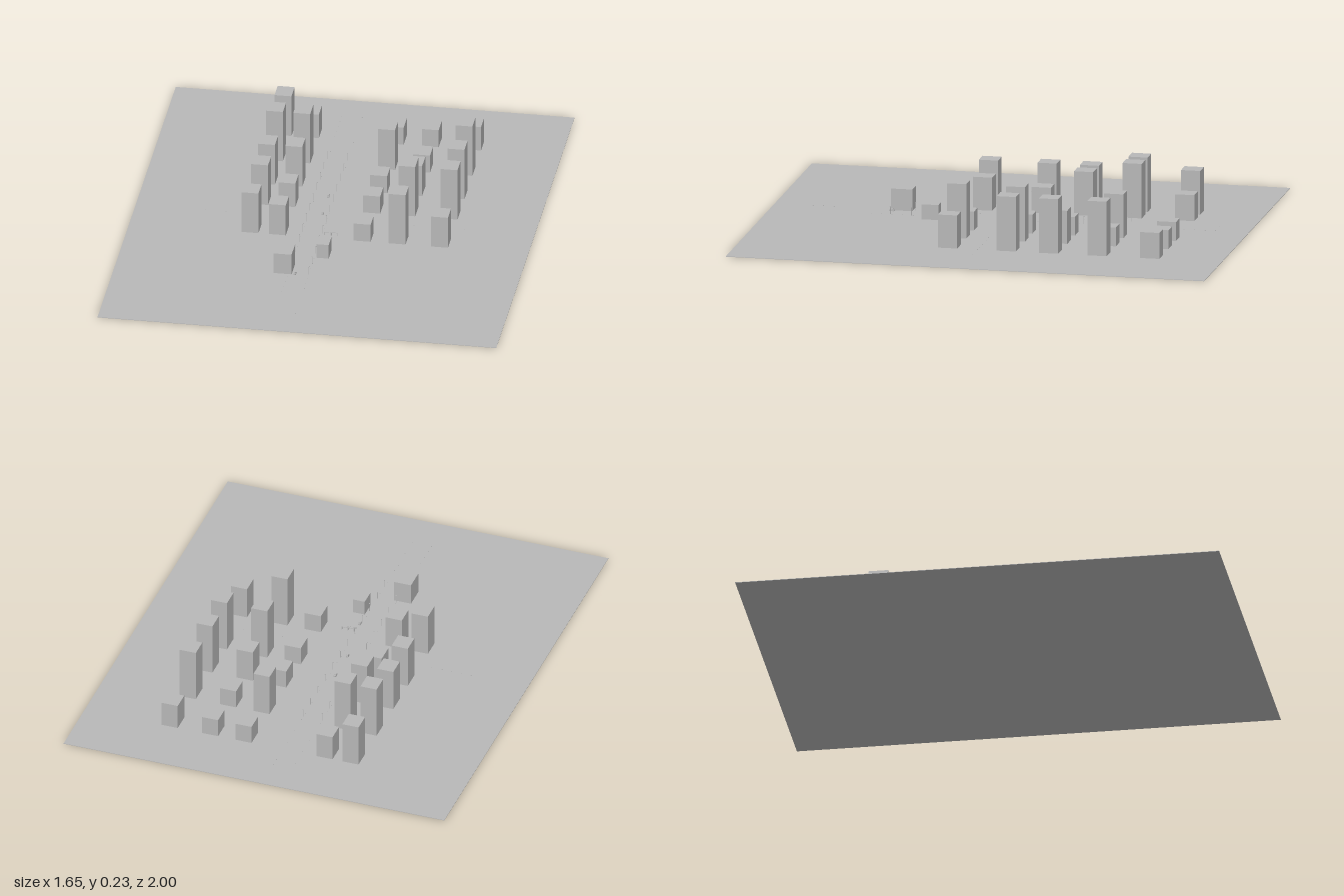
import * as THREE from 'three';

export function createModel() {
  const city = new THREE.Group();
  const concrete = new THREE.MeshStandardMaterial({ color: 0xb8b8b8 });
  concrete.name = 'concrete grey';

  // Adds a box standing on height y
  function block(name, x, z, w, h, d, y = 0.001, parent = city) {
    const mesh = new THREE.Mesh(new THREE.BoxGeometry(w, h, d), concrete);
    mesh.name = name;
    mesh.position.set(x, y + h / 2, z);
    parent.add(mesh);
    return mesh;
  }
  function section(name) {
    const group = new THREE.Group();
    group.name = name;
    city.add(group);
    return group;
  }

  block('ground', 0, 0, 1.65, 0.002, 2, 0);

  // Tower blocks: one line of heights per row, running from -x to +x
  const towers = section('towers');
  const columns = [-0.326, -0.213, 0.138, 0.283, 0.458];
  const rows = [
    [-0.70, [0.185, 0.11, 0.08, 0.08, 0.11]],
    [-0.48, [0.23, 0.23, 0.185, 0.08, 0.23]],
    [-0.277, [0.185, 0.185, 0.08, 0.14, 0.23]],
    [-0.10, [0.185, 0.11, 0.08, 0.23, 0.23]],
    [0.145, [0.185, 0.14, 0.08, 0.23, 0.14]],
  ];
  for (const [z, heights] of rows) {
    heights.forEach((h, i) => block('tower', columns[i], z, 0.07, h, 0.08, 0.001, towers));
  }

  // Two low houses beside the main street
  block('smallHouse', 0.002, 0.32, 0.05, 0.064, 0.07);
  block('largeHouse', -0.138, 0.467, 0.074, 0.092, 0.09);

  // Kerb studs along the main street and the cross street
  const studs = section('kerbStuds');
  for (const x of [-0.115, -0.032]) {
    for (let i = 0; i < 40; i++) block('stud', x, -0.86 + i * 0.0436, 0.003, 0.002, 0.003, 0.001, studs);
  }
  for (const side of [-1, 1]) {
    for (let i = 0; i < 10; i++) block('stud', side * (0.2 + i * 0.042), 0.02, 0.003, 0.002, 0.003, 0.001, studs);
  }

  // Slim street lamps
  const lamps = section('streetLamps');
  for (const x of [-0.115, -0.032]) {
    for (let i = 0; i < 12; i++) {
      const z = -0.49 + i * 0.09;
      block('lampPost', x, z, 0.0015, 0.034, 0.0015, 0.001, lamps);
      block('lampHead', x, z, 0.004, 0.002, 0.004, 0.035, lamps);
    }
  }

  // Small vehicles on the street
  const cars = section('cars');
  for (const [x, z] of [[-0.088, 0.505], [-0.058, -0.02], [-0.058, -0.17], [-0.028, 0.215]]) {
    block('carBody', x, z, 0.009, 0.006, 0.02, 0.002, cars);
    block('carCabin', x, z, 0.008, 0.004, 0.011, 0.008, cars);
  }

  // Little stand with posts and a beam beside the small house
  const stand = section('roadsideStand');
  for (const x of [-0.022, 0.004, 0.03]) block('standPost', x, 0.155, 0.003, 0.014, 0.003, 0.001, stand);
  block('standBeam', 0.004, 0.155, 0.055, 0.002, 0.003, 0.014, stand);
  for (const x of [-0.018, 0.008]) block('bench', x, 0.178, 0.012, 0.005, 0.005, 0.001, stand);

  return city;
}
